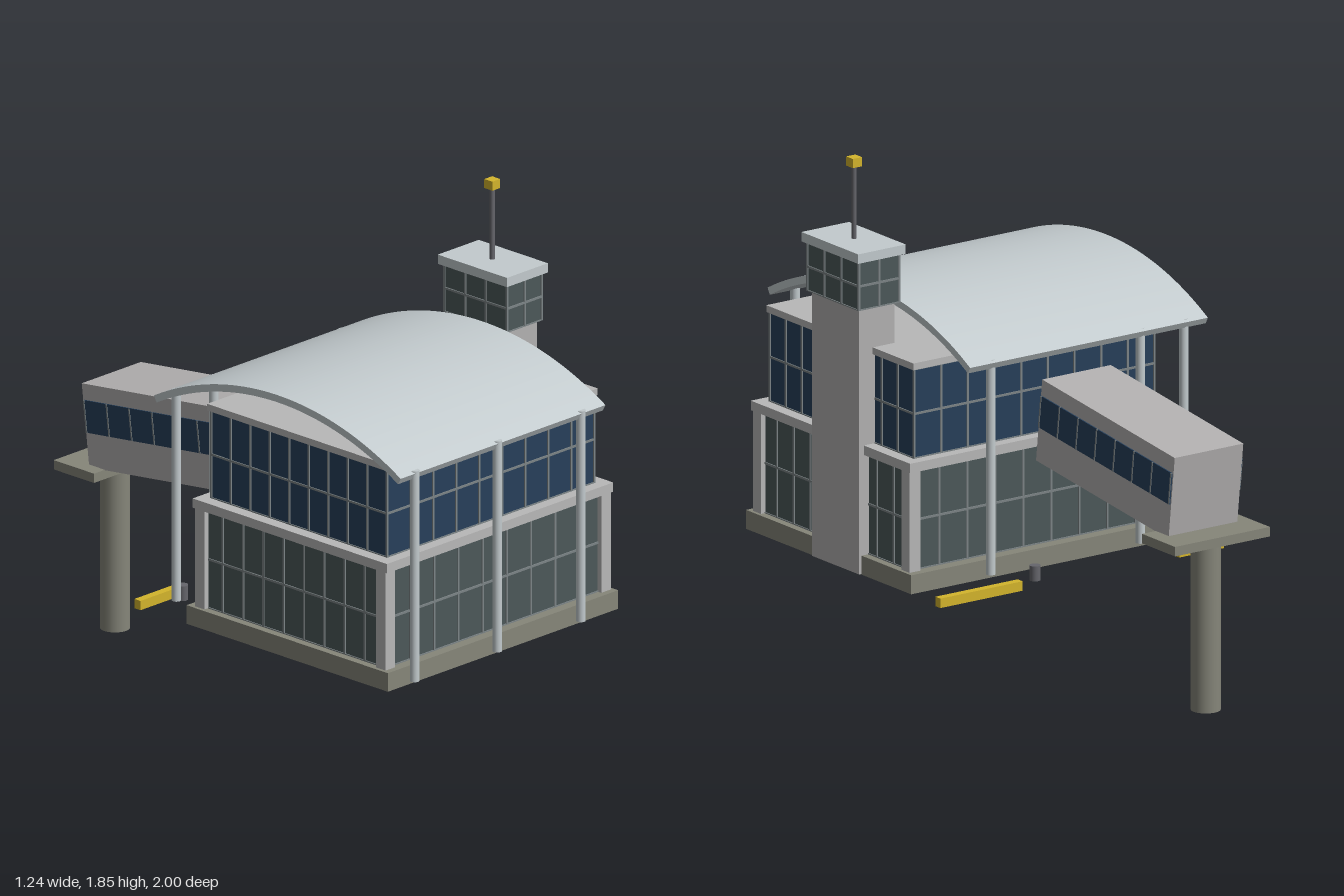
import * as THREE from 'three';

const mat = (color) => new THREE.MeshStandardMaterial({ color });
const M = {
  wall: mat(0xb3b1b1), trim: mat(0xb8b8b8), base: mat(0x86867a), metal: mat(0xc3cbce),
  glass: mat(0x4c5859), blue: mat(0x273f5a), bar: mat(0x7c8486), dark: mat(0x66666c), gold: mat(0xd4b52c),
};

// Box given by its extents on each axis
function box(parent, name, m, [x0, x1], [y0, y1], [z0, z1]) {
  const mesh = new THREE.Mesh(new THREE.BoxGeometry(x1 - x0, y1 - y0, z1 - z0), m);
  mesh.position.set((x0 + x1) / 2, (y0 + y1) / 2, (z0 + z1) / 2);
  mesh.name = name;
  parent.add(mesh);
  return mesh;
}

function post(parent, name, m, x, z, r, y0, y1) {
  const mesh = new THREE.Mesh(new THREE.CylinderGeometry(r, r, y1 - y0, 20), m);
  mesh.position.set(x, (y0 + y1) / 2, z);
  mesh.name = name;
  parent.add(mesh);
}

// Glazed block with a grid of bars on all four sides
function glazed(parent, name, m, X, Y, Z, nx, nz, rows, t = 0.004) {
  const g = new THREE.Group();
  g.name = name;
  parent.add(g);
  box(g, 'glass', m, X, Y, Z);
  const lerp = THREE.MathUtils.lerp;
  for (let i = 0; i <= nx; i++) {
    const x = lerp(X[0], X[1], i / nx);
    for (const z of Z) box(g, 'mullion', M.bar, [x - t, x + t], Y, [z - t, z + t]);
  }
  for (let i = 1; i < nz; i++) {
    const z = lerp(Z[0], Z[1], i / nz);
    for (const x of X) box(g, 'mullion', M.bar, [x - t, x + t], Y, [z - t, z + t]);
  }
  for (let j = 0; j <= rows; j++) {
    const y = lerp(Y[0], Y[1], j / rows);
    const Yb = [Math.max(Y[0], y - t), Math.min(Y[1], y + t)];
    for (const z of Z) box(g, 'transom', M.bar, X, Yb, [z - t, z + t]);
    for (const x of X) box(g, 'transom', M.bar, [x - t, x + t], Yb, Z);
  }
}

function terminal(root) {
  const g = new THREE.Group();
  g.name = 'terminal';
  root.add(g);
  box(g, 'baseSlab', M.base, [-0.585, 0.585], [0.35, 0.42], [-0.09, 0.9]);
  glazed(g, 'lowerFloor', M.glass, [-0.552, 0.552], [0.42, 0.79], [-0.042, 0.857], 9, 9, 2);
  for (const x of [-0.548, 0.548]) for (const z of [-0.038, 0.852])
    box(g, 'cornerColumn', M.trim, [x - 0.024, x + 0.024], [0.42, 0.79], [z - 0.024, z + 0.024]);
  box(g, 'middleSlab', M.trim, [-0.575, 0.575], [0.79, 0.825], [-0.07, 0.885]);
  glazed(g, 'upperFloor', M.blue, [-0.525, 0.525], [0.825, 1.155], [-0.025, 0.838], 9, 9, 2);
  box(g, 'flatRoof', M.trim, [-0.536, 0.536], [1.155, 1.18], [-0.036, 0.846]);
}

function tower(root) {
  const g = new THREE.Group();
  g.name = 'tower';
  root.add(g);
  box(g, 'shaft', M.wall, [0.44, 0.595], [0.352, 1.33], [0.208, 0.49]);
  glazed(g, 'cabin', M.glass, [0.43, 0.605], [1.33, 1.51], [0.197, 0.503], 2, 3, 2);
  box(g, 'cabinRoof', M.metal, [0.412, 0.62], [1.51, 1.545], [0.18, 0.52]);
  post(g, 'mast', M.dark, 0.515, 0.348, 0.009, 1.545, 1.82);
  box(g, 'beacon', M.gold, [0.495, 0.535], [1.812, 1.846], [0.328, 0.368]);
}

// Curved canopy: an arc band drawn in z,y and extruded along x
function canopy(root) {
  const g = new THREE.Group();
  g.name = 'canopy';
  root.add(g);
  const R = 1.24, t = 0.027, a = Math.asin(0.607 / R);
  const s = new THREE.Shape();
  s.absarc(0, 0, R, Math.PI / 2 - a, Math.PI / 2 + a, false);
  s.absarc(0, 0, R - t, Math.PI / 2 + a, Math.PI / 2 - a, true);
  const geo = new THREE.ExtrudeGeometry(s, { depth: 1.04, bevelEnabled: false, curveSegments: 32 });
  geo.rotateY(-Math.PI / 2);
  geo.translate(0.42, 1.346 - R, 0.39);
  const roof = new THREE.Mesh(geo, M.metal);
  roof.name = 'curvedRoof';
  g.add(roof);
  for (const x of [-0.535, -0.115, 0.31]) post(g, 'frontPost', M.metal, x, 0.983, 0.017, 0.4, 1.195);
  for (const x of [-0.535, -0.345, 0.31]) post(g, 'backPost', M.metal, x, -0.189, 0.017, 0.4, 1.195);
}

function bridge(root) {
  // Sloping passage with a band of windows along each side
  const g = new THREE.Group();
  g.name = 'passage';
  g.position.set(-0.115, 0.851, -0.5);
  g.rotation.x = -0.12;
  root.add(g);
  box(g, 'passageBody', M.wall, [-0.15, 0.15], [-0.155, 0.155], [-0.4, 0.4]);
  for (const s of [-1, 1]) {
    box(g, 'windowBand', M.blue, [s * 0.152 - 0.003, s * 0.152 + 0.003], [-0.025, 0.095], [-0.395, 0.395]);
    for (let i = 0; i <= 7; i++) {
      const z = -0.392 + i * 0.112;
      box(g, 'windowBar', M.bar, [s * 0.154 - 0.003, s * 0.154 + 0.003], [-0.025, 0.095], [z - 0.003, z + 0.003]);
    }
  }
  // Support under the far end
  box(root, 'supportPlatform', M.base, [-0.32, 0.095], [0.625, 0.66], [-1, -0.802]);
  post(root, 'supportPillar', M.base, -0.112, -0.9, 0.054, 0, 0.625);
}

export function createModel() {
  const root = new THREE.Group();
  root.name = 'airportTerminal';
  terminal(root);
  tower(root);
  canopy(root);
  bridge(root);
  // Barriers and bollards behind the building
  box(root, 'barrier', M.gold, [0.26, 0.62], [0.36, 0.395], [-0.313, -0.283]);
  box(root, 'barrier', M.gold, [-0.62, -0.425], [0.36, 0.395], [-0.313, -0.283]);
  for (const x of [-0.445, 0.157]) post(root, 'bollard', M.dark, x, -0.245, 0.02, 0.365, 0.42);
  return root;
}
